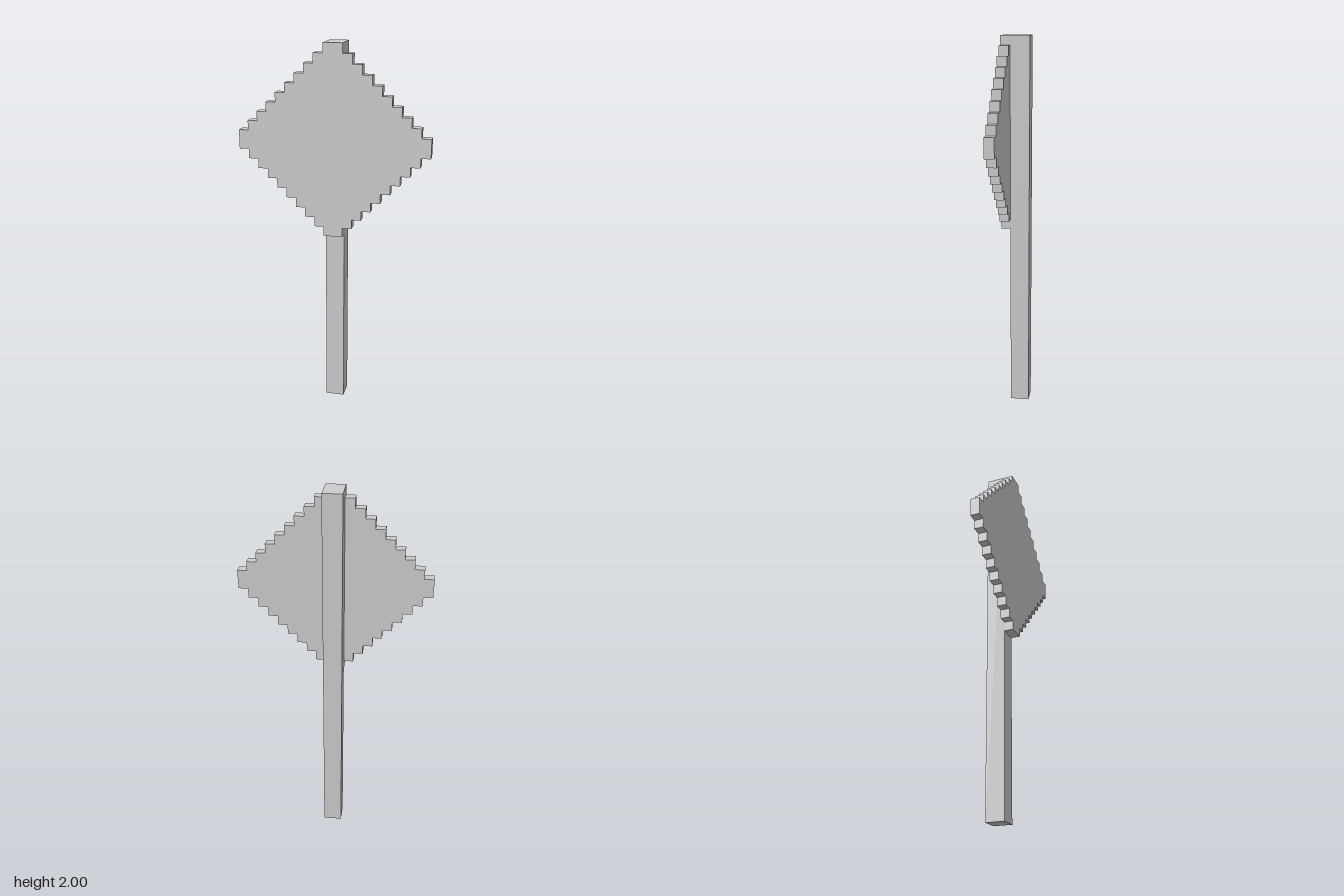
import * as THREE from 'three';

const STEP = 0.05;   // size of one stair in the outline
const ROWS = 10;     // stairs per quarter of the diamond
const CENTRE_Y = 1.5;

// Stepped diamond outline, counter-clockwise from the bottom right corner
function diamondShape() {
  const right = [];
  for (let i = 1; i <= ROWS; i++) {
    right.push([i * STEP, (i - 1 - ROWS) * STEP]);
    if (i < ROWS) right.push([i * STEP, (i - ROWS) * STEP]);
  }
  const upper = right.map(([x, y]) => [x, -y]).reverse();
  const half = [...right, ...upper];
  const left = half.map(([x, y]) => [-x, y]).reverse();
  return new THREE.Shape([...half, ...left].map(([x, y]) => new THREE.Vector2(x, y)));
}

export function createModel() {
  const group = new THREE.Group();
  group.name = 'signpost';
  const material = new THREE.MeshStandardMaterial({ color: 0xcccccc, flatShading: true });

  // Square post behind the panel
  const post = new THREE.Mesh(new THREE.BoxGeometry(0.1, 2, 0.1), material);
  post.name = 'post';
  post.position.set(0, 1, -0.025);
  group.add(post);

  // Stepped diamond panel on the front of the post
  const panelGeometry = new THREE.ExtrudeGeometry(diamondShape(), { depth: STEP, bevelEnabled: false });
  const panel = new THREE.Mesh(panelGeometry, material);
  panel.name = 'diamondPanel';
  panel.position.set(0, CENTRE_Y, 0.025);
  group.add(panel);

  return group;
}
